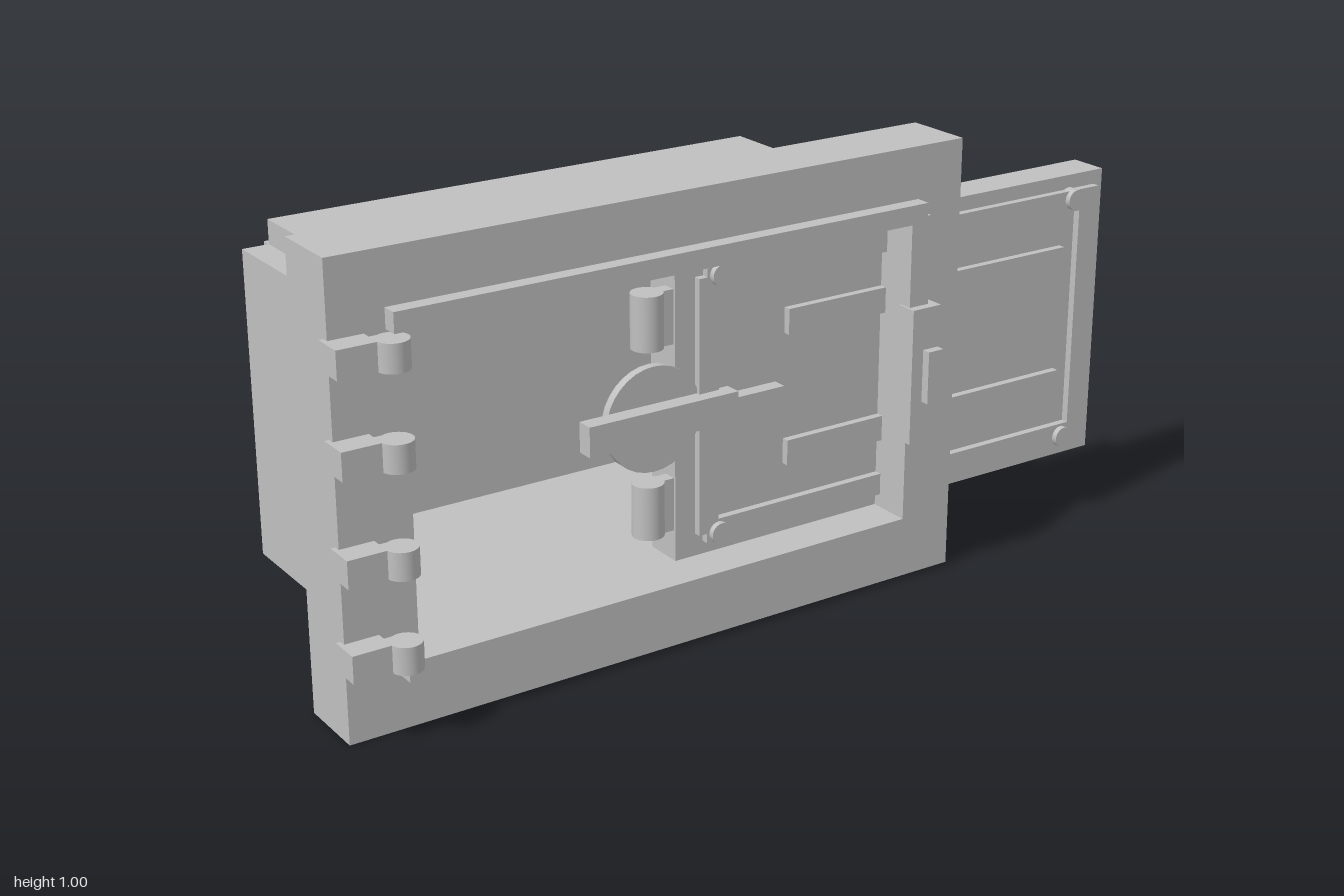
import * as THREE from 'three';

export function createModel() {
  const model = new THREE.Group();
  const steel = new THREE.MeshStandardMaterial({ color: 0xc0c0c0 });
  steel.name = 'grey steel';

  const add = (name, geometry, parent = model) => {
    const mesh = new THREE.Mesh(geometry, steel);
    mesh.name = name;
    parent.add(mesh);
    return mesh;
  };
  // Box given by its low and high limits on each axis
  const box = (name, x0, x1, y0, y1, z0, z1, parent) => {
    const mesh = add(name, new THREE.BoxGeometry(x1 - x0, y1 - y0, z1 - z0), parent);
    mesh.position.set((x0 + x1) / 2, (y0 + y1) / 2, (z0 + z1) / 2);
    return mesh;
  };
  const cylinder = (name, radius, height, x, y, z, parent) => {
    const mesh = add(name, new THREE.CylinderGeometry(radius, radius, height, 32), parent);
    mesh.position.set(x, y, z);
    return mesh;
  };
  const group = (name) => {
    const g = new THREE.Group();
    g.name = name;
    model.add(g);
    return g;
  };
  const rect = (Type, x0, x1, y0, y1) => new Type([
    [x0, y0], [x1, y0], [x1, y1], [x0, y1],
  ].map(([x, y]) => new THREE.Vector2(x, y)));

  // Thick wall frame with its opening
  const plate = rect(THREE.Shape, -0.99, 0.52, 0, 1);
  plate.holes.push(rect(THREE.Path, -0.83, 0.36, 0.16, 0.84));
  add('wallFrame', new THREE.ExtrudeGeometry(plate, { depth: 0.16, bevelEnabled: false }))
    .position.z = 0.11;

  // Compartment behind the frame
  const body = group('compartment');
  box('topPanel', -0.83, 0.36, 0.84, 0.897, -0.33, 0.11, body);
  box('bottomPanel', -0.83, 0.36, 0.103, 0.16, -0.33, 0.11, body);
  box('rightPanel', -0.89, -0.83, 0.157, 0.843, -0.33, 0.11, body);
  box('leftPanel', 0.36, 0.42, 0.157, 0.843, -0.33, 0.11, body);
  box('backPanel', -0.83, 0.36, 0.157, 0.843, -0.355, -0.33, body);

  // Raised rim on three sides of the opening
  const rim = group('rim');
  box('topRim', -0.87, 0.402, 0.84, 0.883, 0.27, 0.305, rim);
  box('bottomRim', -0.87, 0.402, 0.117, 0.16, 0.27, 0.305, rim);
  box('sideRim', 0.36, 0.41, 0.145, 0.855, 0.27, 0.305, rim);

  // Strike plate on the rim
  const strike = group('strikePlate');
  box('strikeBase', 0.355, 0.43, 0.345, 0.655, 0.275, 0.325, strike);
  box('strikeCatch', 0.385, 0.425, 0.44, 0.56, 0.325, 0.345, strike);

  // Outer hinges
  const hinges = group('hinges');
  for (const y of [0.19, 0.39, 0.61, 0.81]) {
    box('hingeBlock', -1, -0.915, y - 0.03, y + 0.03, 0.255, 0.325, hinges);
    box('hingeLeaf', -0.915, -0.88, y - 0.03, y + 0.03, 0.29, 0.325, hinges);
    cylinder('hingeKnuckle', 0.034, 0.06, -0.882, y, 0.32, hinges);
  }

  // Sliding door that passes sideways through the frame
  const door = group('slidingDoor');
  box('doorSlab', -0.18, 1, 0.157, 0.843, 0.115, 0.205, door);
  box('doorEdgeStrip', -0.13, -0.08, 0.212, 0.788, 0.205, 0.222, door);
  box('doorEndStrip', 0.92, 0.975, 0.24, 0.76, 0.205, 0.222, door);
  for (const s of [-1, 1]) {
    const bar = (name, x0, x1, offset, half, z1) =>
      box(name, x0, x1, 0.5 + s * offset - half, 0.5 + s * offset + half, 0.205, z1, door);
    bar('doorRail', -0.11, 0.975, 0.285, 0.025, 0.222);
    bar('doorRib', 0.1, 0.88, 0.15, 0.029, 0.222);
    for (const x of [-0.08, 0.9]) {
      cylinder('rivet', 0.024, 0.03, x, 0.5 + s * 0.29, 0.22, door).rotation.x = Math.PI / 2;
    }
    cylinder('doorKnuckle', 0.035, 0.12, -0.237, 0.5 + s * 0.21, 0.187, door);
    box('knuckleLeaf', -0.225, -0.17, 0.44 + s * 0.21, 0.56 + s * 0.21, 0.17, 0.2, door);
  }

  // Turning handle
  const handle = group('handle');
  cylinder('handleDisc', 0.117, 0.02, -0.237, 0.5, 0.203, handle).rotation.x = Math.PI / 2;
  box('handleBar', -0.418, -0.052, 0.468, 0.535, 0.213, 0.252, handle);
  box('handleBolt', -0.052, 0.078, 0.487, 0.515, 0.205, 0.238, handle);

  return model;
}
